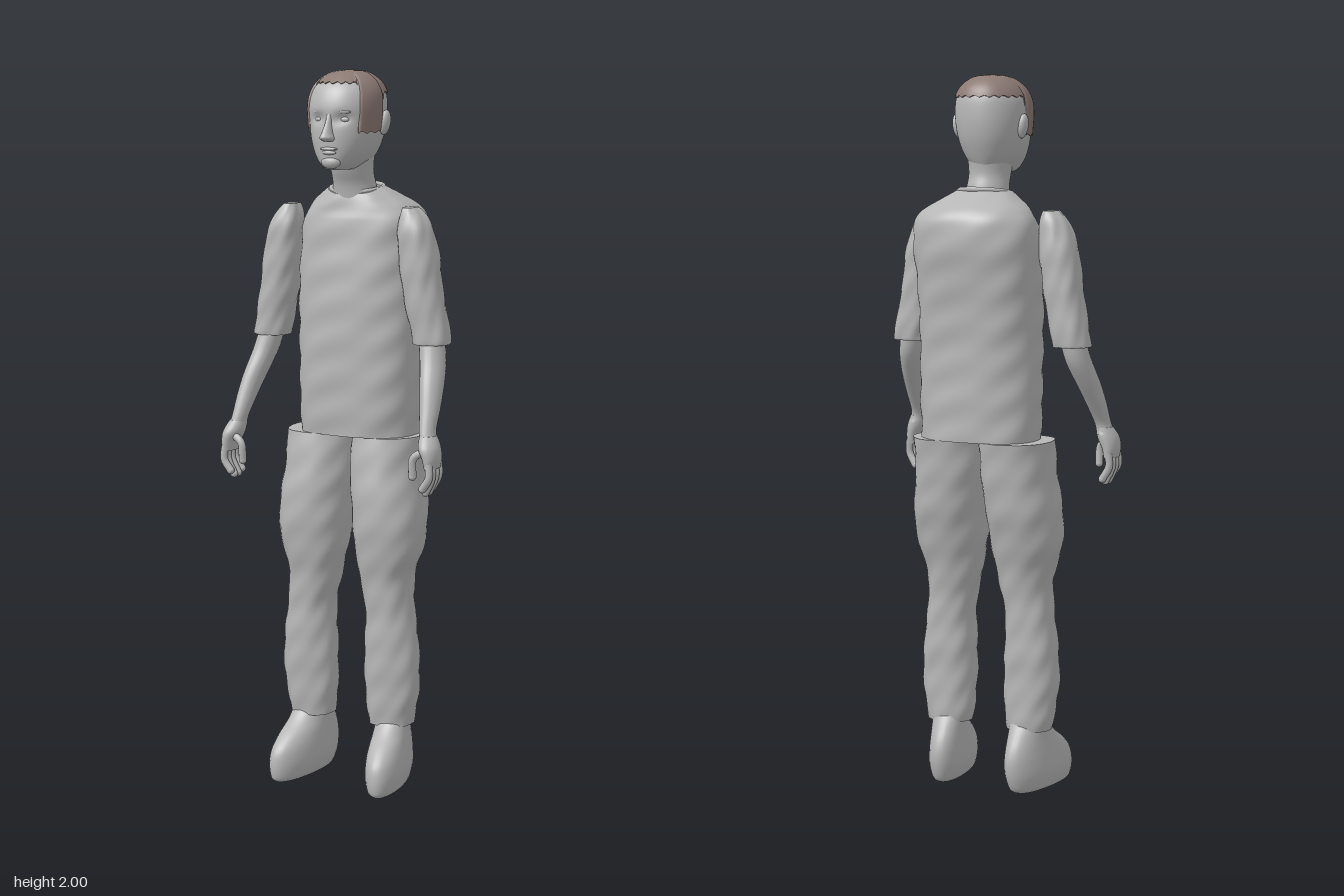
import * as THREE from 'three';

const grey = new THREE.MeshStandardMaterial({ color: 0xb6b6b6, side: THREE.DoubleSide });
grey.name = 'grey plastic';
const brown = new THREE.MeshStandardMaterial({ color: 0x8c7a74, side: THREE.DoubleSide });
brown.name = 'brown hair';

// Cross-sections are rows [y, xMin, xMax, zBack, zFront], from bottom to top.
function sample(rows, t) {
  const f = Math.min(t, 1) * (rows.length - 1), i = Math.min(Math.floor(f), rows.length - 2), k = f - i;
  const a = rows[Math.max(i - 1, 0)], b = rows[i], c = rows[i + 1], d = rows[Math.min(i + 2, rows.length - 1)];
  return b.map((v, n) => {
    const m0 = (c[n] - a[n]) / 2, m1 = (d[n] - v) / 2;
    return v + m0 * k + (3 * (c[n] - v) - 2 * m0 - m1) * k * k + (2 * (v - c[n]) + m0 + m1) * k * k * k;
  });
}

function ringPoint([y, x0, x1, z0, z1], a, power = 2, grow = 0) {
  const c = Math.cos(a), s = Math.sin(a), e = 2 / power;
  const rx = (x1 - x0) / 2 + grow, rz = (z1 - z0) / 2 + grow;
  return [(x0 + x1) / 2 + rx * Math.sign(c) * Math.abs(c) ** e, y,
    (z0 + z1) / 2 + rz * Math.sign(s) * Math.abs(s) ** e];
}

// Closed surface through grid(u, a); u runs upwards, a runs round.
function skin(grid, rings, sides, caps = true) {
  const pos = [], index = [];
  for (let j = 0; j <= rings; j++)
    for (let i = 0; i < sides; i++) pos.push(...grid(j / rings, i / sides * Math.PI * 2));
  for (let j = 0; j < rings; j++)
    for (let i = 0; i < sides; i++) {
      const n = (i + 1) % sides, p = j * sides;
      index.push(p + i, p + sides + i, p + n, p + n, p + sides + i, p + sides + n);
    }
  if (caps) for (const j of [0, rings]) {
    const start = pos.length / 3, mid = [0, 0, 0];
    for (let i = 0; i < sides; i++) {
      const p = pos.slice((j * sides + i) * 3, (j * sides + i) * 3 + 3);
      pos.push(...p);
      p.forEach((v, n) => { mid[n] += v / sides; });
    }
    pos.push(...mid);
    for (let i = 0; i < sides; i++) {
      const a = start + i, b = start + (i + 1) % sides, m = start + sides;
      index.push(...(j ? [a, m, b] : [a, b, m]));
    }
  }
  const g = new THREE.BufferGeometry();
  g.setAttribute('position', new THREE.Float32BufferAttribute(pos, 3));
  g.setIndex(index);
  g.computeVertexNormals();
  return g;
}

function loft(rows, { power = 2, rings = 40, sides = 36, wrinkle = 0, bend } = {}) {
  return skin((u, a) => {
    const r = sample(rows, u);
    const fold = wrinkle * (Math.sin(3 * a + r[0] * 37) * Math.sin(r[0] * 24 - 2 * a) + 0.5 * Math.sin(7 * a + r[0] * 61));
    const p = ringPoint(r, a, power, fold);
    return bend ? bend(p) : p;
  }, rings, sides);
}

function add(parent, name, geometry, material = grey) {
  const m = new THREE.Mesh(geometry, material);
  m.name = name;
  parent.add(m);
  return m;
}

function blob(parent, name, x, y, z, rx, ry, rz) {
  const m = add(parent, name, new THREE.SphereGeometry(1, 20, 14));
  m.position.set(x, y, z);
  m.scale.set(rx, ry, rz);
  return m;
}

// Round-ended finger along a curved path
function finger(parent, name, points, r) {
  const path = new THREE.CatmullRomCurve3(points.map(p => new THREE.Vector3(...p)));
  add(parent, name, new THREE.TubeGeometry(path, 10, r, 10));
  blob(parent, name + 'Tip', ...points[points.length - 1], r, r, r);
}

const mirror = (rows, s) => rows.map(([y, a, b, c, d]) => s > 0 ? [y, a, b, c, d] : [y, -b, -a, c, d]);

const HEAD = [
  [1.735, -0.03, 0.045, -0.04, 0.135], [1.75, -0.045, 0.062, -0.048, 0.155], [1.78, -0.066, 0.085, -0.062, 0.16],
  [1.82, -0.08, 0.1, -0.076, 0.162], [1.86, -0.087, 0.107, -0.083, 0.16], [1.9, -0.09, 0.11, -0.084, 0.16],
  [1.935, -0.086, 0.106, -0.08, 0.15], [1.962, -0.072, 0.092, -0.068, 0.132], [1.982, -0.049, 0.069, -0.046, 0.102],
  [1.992, -0.025, 0.045, -0.02, 0.07], [1.995, 0.005, 0.015, 0.02, 0.03]];

function buildHead(root) {
  const head = new THREE.Group();
  head.name = 'head';
  root.add(head);
  const cx = 0.012;
  // Skull with shallow eye sockets
  add(head, 'skull', loft(HEAD, { power: 2.15, sides: 64, rings: 60, bend: ([x, y, z]) => {
    const socket = Math.exp(-(((Math.abs(x - cx) - 0.036) / 0.02) ** 2) - ((y - 1.872) / 0.014) ** 2);
    return [x, y, z > 0.08 ? z - 0.012 * socket : z];
  } }));
  // Nose
  add(head, 'nose', loft([[1.812, cx - 0.014, cx + 0.014, 0.14, 0.172], [1.82, cx - 0.019, cx + 0.019, 0.14, 0.194],
    [1.835, cx - 0.014, cx + 0.014, 0.14, 0.188], [1.86, cx - 0.009, cx + 0.009, 0.14, 0.172],
    [1.885, cx - 0.008, cx + 0.008, 0.14, 0.16]], { rings: 16, sides: 20 }));
  // Mouth and chin
  blob(head, 'upperLip', cx, 1.792, 0.158, 0.026, 0.005, 0.009);
  blob(head, 'lowerLip', cx, 1.782, 0.157, 0.021, 0.006, 0.009);
  blob(head, 'chin', cx, 1.756, 0.146, 0.028, 0.018, 0.018);
  for (const s of [-1, 1]) {
    blob(head, 'eye', cx + s * 0.036, 1.87, 0.137, 0.015, 0.008, 0.009);
    blob(head, 'brow', cx + s * 0.037, 1.89, 0.143, 0.022, 0.005, 0.009).rotation.y = s * 0.3;
    blob(head, 'ear', cx + s * 0.1, 1.86, 0.02, 0.014, 0.034, 0.02).rotation.z = -s * 0.15;
  }
  // Hair: shell over the crown with sideburns and a short back
  const edge = a => {
    const s = Math.sin(a);
    return s > 0.66 ? 1.967 : s > -0.02 ? 1.835 : 1.94;
  };
  const heightToT = y => {
    let lo = 0, hi = 1;
    for (let i = 0; i < 24; i++) {
      const m = (lo + hi) / 2;
      if (sample(HEAD, m)[0] < y) lo = m; else hi = m;
    }
    return lo;
  };
  const hair = skin((u, a) => {
    const t0 = heightToT(edge(a) + 0.003 * Math.sin(a * 23));
    const p = ringPoint(sample(HEAD, t0 + (1 - t0) * u), a, 2.15, 0.005);
    p[1] += 0.005 * u;
    return p;
  }, 24, 96);
  add(head, 'hair', hair, brown);
}

function buildTorso(root) {
  // Shirt, with a neckline that dips at the front
  add(root, 'shirt', loft([
    [1.0, -0.155, 0.183, -0.155, 0.095], [1.1, -0.159, 0.186, -0.157, 0.1], [1.25, -0.16, 0.186, -0.16, 0.1],
    [1.4, -0.162, 0.188, -0.172, 0.095], [1.52, -0.163, 0.192, -0.187, 0.085], [1.59, -0.158, 0.19, -0.187, 0.077],
    [1.63, -0.134, 0.168, -0.168, 0.07], [1.66, -0.098, 0.128, -0.125, 0.064], [1.685, -0.066, 0.09, -0.078, 0.058]],
  { power: 2.4, rings: 70, sides: 64, wrinkle: 0.0022, bend: ([x, y, z]) =>
    [x, y - Math.max(0, y - 1.6) * Math.max(0, z) * 4, z] }));
  const collar = add(root, 'collar', new THREE.TorusGeometry(0.074, 0.007, 10, 40));
  collar.position.set(0.012, 1.68, -0.012);
  collar.rotation.x = Math.PI / 2 + 0.14;
  collar.scale.y = 0.88;
  add(root, 'neck', loft([[1.64, -0.055, 0.08, -0.065, 0.06], [1.69, -0.047, 0.07, -0.06, 0.068],
    [1.73, -0.045, 0.068, -0.05, 0.085], [1.78, -0.05, 0.073, -0.055, 0.1]], { rings: 16 }));
}

function buildArm(root, s) {
  const arm = new THREE.Group();
  arm.name = s > 0 ? 'leftArm' : 'rightArm';
  root.add(arm);
  // Sleeve
  add(arm, 'sleeve', loft(mirror([
    [1.262, 0.196, 0.298, -0.05, 0.052], [1.28, 0.194, 0.298, -0.054, 0.055], [1.4, 0.17, 0.275, -0.056, 0.062],
    [1.5, 0.157, 0.262, -0.056, 0.064], [1.565, 0.153, 0.246, -0.05, 0.062], [1.605, 0.157, 0.226, -0.042, 0.052],
    [1.632, 0.165, 0.2, -0.028, 0.038]], s), { power: 2.3, wrinkle: 0.002 }));
  // Forearm
  add(arm, 'forearm', loft(mirror([
    [1.01, 0.274, 0.322, 0.086, 0.158], [1.04, 0.269, 0.312, 0.088, 0.148], [1.1, 0.256, 0.31, 0.05, 0.125],
    [1.16, 0.242, 0.304, 0.008, 0.1], [1.22, 0.226, 0.294, -0.026, 0.068], [1.275, 0.214, 0.284, -0.036, 0.048]], s),
  { rings: 24, sides: 24 }));
  // Hand
  add(arm, 'palm', loft(mirror([[0.945, 0.294, 0.328, 0.092, 0.172], [0.97, 0.288, 0.333, 0.09, 0.176],
    [1.0, 0.274, 0.33, 0.088, 0.174], [1.03, 0.272, 0.316, 0.09, 0.152]], s), { rings: 16, sides: 24 }));
  [0.1, 0.122, 0.144, 0.164].forEach((z, i) => finger(arm, 'finger', [[s * 0.314, 0.96, z],
    [s * 0.316, 0.92, z + 0.002], [s * 0.297, [0.885, 0.877, 0.877, 0.89][i], z]], 0.0108));
  finger(arm, 'thumb', [[s * 0.293, 0.99, 0.152], [s * 0.266, 0.97, 0.158], [s * 0.263, 0.92, 0.155]], 0.011);
}

function buildLeg(root, s) {
  const leg = new THREE.Group();
  leg.name = s > 0 ? 'leftLeg' : 'rightLeg';
  leg.position.x = 0.004;
  root.add(leg);
  // Trouser leg
  add(leg, 'trouserLeg', loft(mirror([
    [0.175, 0.062, 0.188, -0.055, 0.064], [0.22, 0.055, 0.197, -0.06, 0.068], [0.3, 0.05, 0.208, -0.06, 0.074],
    [0.4, 0.052, 0.204, -0.066, 0.08], [0.5, 0.056, 0.191, -0.067, 0.081], [0.6, 0.038, 0.187, -0.076, 0.09],
    [0.7, 0.02, 0.214, -0.1, 0.107], [0.8, 0.012, 0.215, -0.127, 0.112], [0.9, 0.002, 0.203, -0.14, 0.1],
    [1.0, 0.001, 0.203, -0.15, 0.082]], s), { power: 2.2, rings: 60, wrinkle: 0.002 }));
  // Shoe, toe turned slightly outwards
  add(leg, 'shoe', loft(mirror([
    [0, 0.096, 0.168, -0.065, 0.165], [0.012, 0.083, 0.18, -0.085, 0.178], [0.05, 0.074, 0.188, -0.1, 0.182],
    [0.09, 0.074, 0.186, -0.104, 0.172], [0.125, 0.076, 0.182, -0.096, 0.138], [0.16, 0.078, 0.178, -0.078, 0.088],
    [0.2, 0.078, 0.176, -0.055, 0.05]], s), { power: 2.1, rings: 30, bend: ([x, y, z]) =>
    [x + s * 0.14 * z, y, z] }));
}

export function createModel() {
  const root = new THREE.Group();
  root.name = 'standingMan';
  buildHead(root);
  buildTorso(root);
  for (const s of [-1, 1]) {
    buildArm(root, s);
    buildLeg(root, s);
  }
  return root;
}
